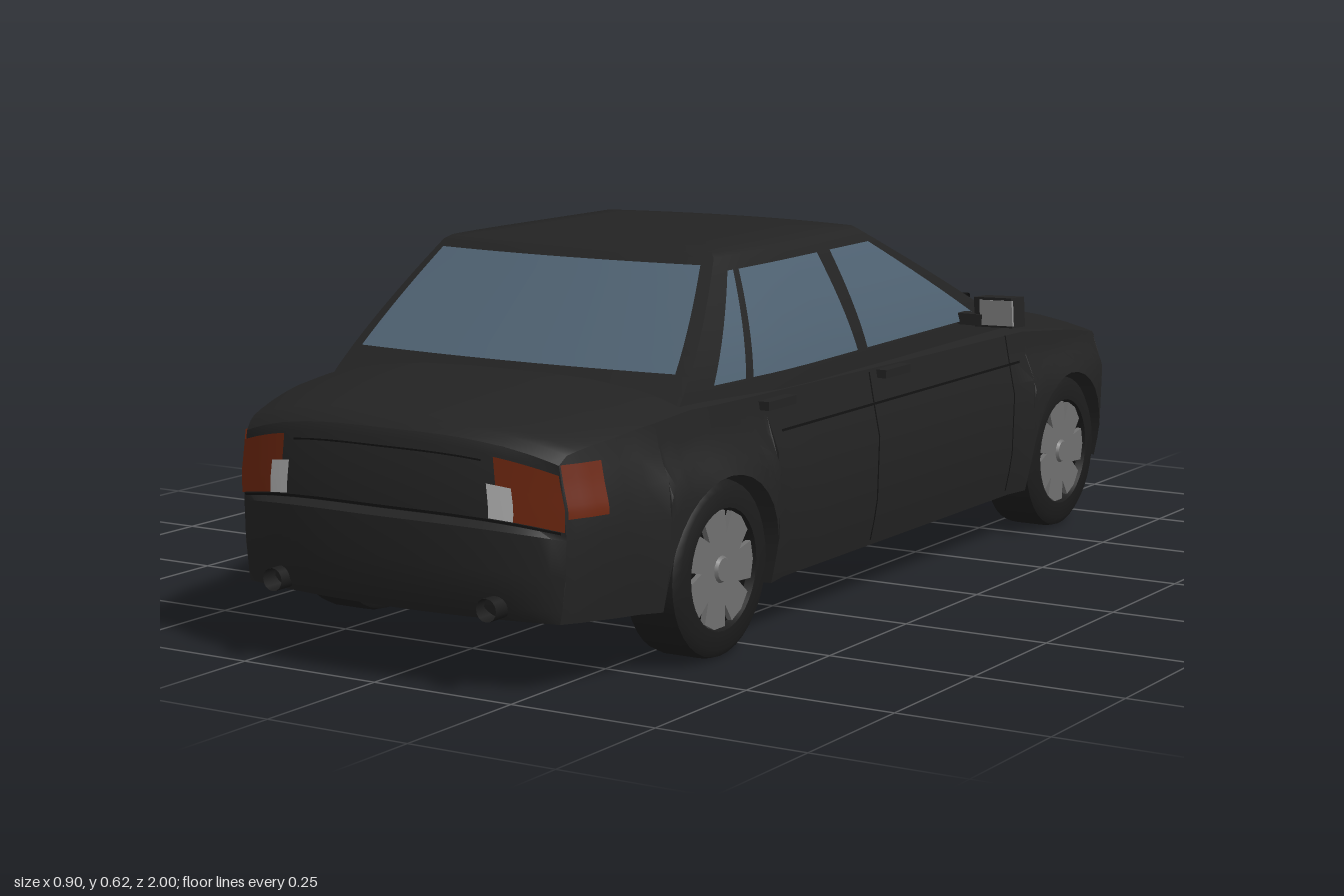
import * as THREE from 'three';
import { toCreasedNormals } from 'three/addons/utils/BufferGeometryUtils.js';

const mat = (name, color) => new THREE.MeshStandardMaterial({ name, color, side: THREE.DoubleSide });
const clamp = (v) => Math.min(1, Math.max(0, v));
const mix = (a, b, t) => a + (b - a) * t;

// piecewise-linear lookup in a list of [key, value] with rising keys
function table(list, k) {
  if (k <= list[0][0]) return list[0][1];
  for (let i = 1; i < list.length; i++) {
    const [a, va] = list[i - 1], [b, vb] = list[i];
    if (k <= b) return mix(va, vb, (k - a) / (b - a));
  }
  return list[list.length - 1][1];
}

// surface through a grid of points, fn(i, j) -> [x, y, z]
function grid(nu, nv, fn, flip = false, crease = 0.6) {
  const pos = [], idx = [];
  for (let i = 0; i <= nu; i++) for (let j = 0; j <= nv; j++) pos.push(...fn(i, j));
  for (let i = 0; i < nu; i++) for (let j = 0; j < nv; j++) {
    const a = i * (nv + 1) + j, b = a + nv + 1;
    if (flip) idx.push(a, a + 1, b, b, a + 1, b + 1);
    else idx.push(a, b, a + 1, b, b + 1, a + 1);
  }
  const g = new THREE.BufferGeometry();
  g.setAttribute('position', new THREE.Float32BufferAttribute(pos, 3));
  g.setIndex(idx);
  return toCreasedNormals(g, crease);
}

// body dimensions along z
const WHEEL_Z = [0.6, -0.6], WHEEL_Y = 0.14, ARCH = 0.148;
const REAR = 0.965, FRONT = -0.96;
const WIDTH = [[-0.96, 0.305], [-0.92, 0.33], [-0.87, 0.347], [-0.8, 0.36], [-0.7, 0.37], [-0.5, 0.372],
  [0.5, 0.372], [0.6, 0.37], [0.75, 0.357], [0.85, 0.338], [0.93, 0.315], [0.965, 0.3]];
const TOP = [[-0.96, 0.325], [-0.945, 0.338], [-0.9, 0.35], [-0.8, 0.372], [-0.65, 0.395], [-0.45, 0.415],
  [0.0, 0.42], [0.66, 0.43], [0.8, 0.418], [0.92, 0.403], [0.95, 0.395], [0.965, 0.382]];
const FLOOR = [[-0.96, 0.13], [-0.75, 0.11], [-0.45, 0.09], [0.46, 0.09], [0.75, 0.1], [0.965, 0.11]];
const SIDE = [[0.09, 0.96], [0.16, 1], [0.28, 1.01], [0.32, 0.985], [0.36, 0.965], [0.42, 0.935]];

const topY = (z, s) => table(TOP, z) - 0.035 * Math.abs(s) ** 3;
function sideX(z, y) {
  const near = Math.max(...WHEEL_Z.map((c) => clamp(1 - Math.max(0, Math.abs(z - c) - 0.13) / 0.07)));
  return table(WIDTH, z) * table(SIDE, y) + 0.012 * near * clamp((0.33 - y) / 0.03);
}
// the nose and tail curve back towards their corners
const bend = (z, x) => z + (x / 0.3) ** 2 * (0.11 * clamp((-0.75 - z) / 0.21) - 0.035 * clamp((z - 0.75) / 0.21));
function sillY(z) {
  for (const c of WHEEL_Z) {
    const d = Math.abs(z - c);
    if (d < ARCH) return WHEEL_Y + Math.sqrt(ARCH * ARCH - d * d);
  }
  return table(FLOOR, z);
}

function bodyShell() {
  const zs = [0.965, 0.95, 0.93, 0.9, 0.85, 0.8, 0.4, 0.3, 0.15, 0, -0.15, -0.3, -0.4, -0.8, -0.85, -0.88, -0.91, -0.93, -0.945, -0.96];
  for (const c of WHEEL_Z) {
    zs.push(c + ARCH + 0.0005, c - ARCH - 0.0005);
    for (let k = 0; k <= 16; k++) zs.push(c + ARCH * 0.9999 * Math.cos((k / 16) * Math.PI));
  }
  zs.sort((a, b) => b - a);
  const rings = zs.map((z) => {
    const f = table(FLOOR, z), b = sillY(z), sh = topY(z, 1), half = [[0, f], [0.255, f], [0.255, b]];
    for (const t of [0, 0.25, 0.5, 0.7, 0.85, 1]) {
      const y = mix(b, sh, t);
      half.push([sideX(z, y), y]);
    }
    for (const s of [0.95, 0.85, 0.7, 0.45, 0.2, 0]) half.push([s * sideX(z, sh), topY(z, s)]);
    const other = half.slice(0, -1).reverse().map(([x, y]) => [-x, y]);
    return half.concat(other).map(([x, y]) => [x, y, bend(z, x)]);
  });
  return grid(zs.length - 1, rings[0].length - 1, (i, j) => rings[i][j]);
}

// end skins: [height fraction, protrusion] from bottom to top
const SKIN = {
  rear: { z: REAR, dir: 1, prof: [[0, 0], [0.08, 0.02], [0.3, 0.03], [0.53, 0.03], [0.56, 0.012], [0.95, 0.008], [1, 0]] },
  front: { z: FRONT, dir: -1, prof: [[0, 0.005], [0.08, 0.025], [0.25, 0.038], [0.62, 0.04], [0.67, 0.03], [0.69, 0.01], [0.96, 0.003], [1, 0]] },
};
function skinPoint(e, s, t, lift = 0) {
  const y = mix(table(FLOOR, e.z), topY(e.z, s), t);
  const x = s * sideX(e.z, y);
  return [x, y, bend(e.z, x) + e.dir * (table(e.prof, t) * (1 - s ** 4) + lift)];
}
const skin = (e) => grid(32, e.prof.length - 1, (i, j) => skinPoint(e, -1 + i / 16, e.prof[j][0]), e.dir < 0);
const skinPatch = (e, s0, s1, t0, t1, lift = 0.004) =>
  grid(10, 4, (i, j) => skinPoint(e, mix(s0, s1, i / 10), mix(t0, t1, j / 4), lift), e.dir < 0);
// painted patch on the body side, m = 1 left, -1 right
const sidePatch = (m, z0, z1, y0, y1, lift = 0.003) => grid(6, 8, (i, j) => {
  const z = mix(z0, z1, i / 6), y = mix(y0, y1, j / 8), x = sideX(z, y);
  return [m * (x + lift), y, bend(z, x)];
}, m < 0);

// cabin walls
const CAB0 = 0.385, CAB1 = 0.6;
const cabY = (v) => mix(CAB0, CAB1, v);
const cabX = (z, y) => 0.352 - 0.086 * clamp((y - CAB0) / (CAB1 - CAB0)) ** 1.4
  - 0.025 * clamp((0.3 - z) / 0.75) - 0.02 * clamp((z - 0.4) / 0.27);
const cabEnd = (rear, s, v, lift = 0) => {
  const z = rear ? mix(0.7, 0.475, v) - 0.02 * s * s : mix(-0.5, -0.06, v) + 0.035 * s * s;
  return [s * cabX(z, cabY(v)), cabY(v) + lift, z + (rear ? lift : -lift)];
};
function cabin() {
  const ring = (v) => {
    const p = [];
    for (let k = 0; k < 12; k++) p.push(cabEnd(true, -1 + k / 6, v));
    const side = (m, k) => {
      const z = mix(cabEnd(true, 1, v)[2], cabEnd(false, 1, v)[2], k / 12);
      return [m * cabX(z, cabY(v)), cabY(v), z];
    };
    for (let k = 0; k < 12; k++) p.push(side(1, k));
    for (let k = 0; k < 12; k++) p.push(cabEnd(false, 1 - k / 6, v));
    for (let k = 12; k >= 0; k--) p.push(side(-1, k));
    return p;
  };
  const rows = [0, 1, 2, 3, 4, 5, 6, 7, 8].map((k) => ring(k / 8));
  for (const [s, y] of [[0.96, 0.607], [0.75, 0.611], [0.4, 0.614], [0, 0.615]])
    rows.push(rows[8].map(([x, , z]) => [x * s, y, 0.2 + (z - 0.2) * s]));
  return grid(rows[0].length - 1, rows.length - 1, (i, j) => rows[j][i]);
}
const endGlass = (rear, v0, v1) => grid(12, 8, (i, j) => cabEnd(rear, mix(-0.93, 0.93, i / 12), mix(v0, v1, j / 8), 0.003), !rear);
const sideGlass = (m, [b0, b1, t0, t1]) => grid(6, 8, (i, j) => {
  const y = mix(0.42, 0.58, j / 8), z = mix(mix(b0, t0, j / 8), mix(b1, t1, j / 8), i / 6);
  return [m * (cabX(z, y) + 0.004), y, z];
}, m < 0);

export function createModel() {
  const paint = mat('black paint', 0x232323), rubber = mat('tyre rubber', 0x1c1c1c), dark = mat('dark trim', 0x111111);
  const glass = mat('tinted glass', 0x4f6272), red = mat('tail lamp red', 0x6e2710), white = mat('lamp white', 0xb4b4b4);
  const alloy = mat('alloy grey', 0x707070), mirrorGrey = mat('mirror glass', 0x8c8c8c), orange = mat('indicator orange', 0x7a2c10);

  const car = new THREE.Group();
  car.name = 'sedan';
  const add = (name, geo, m, parent = car) => {
    const mesh = new THREE.Mesh(geo, m);
    mesh.name = name;
    parent.add(mesh);
    return mesh;
  };
  const box = (name, size, at, m, rot = [0, 0, 0]) => {
    const b = add(name, new THREE.BoxGeometry(...size), m);
    b.position.set(...at);
    b.rotation.set(...rot);
  };

  // shell, ends and cabin
  add('bodyShell', bodyShell(), paint);
  add('rearPanelAndBumper', skin(SKIN.rear), paint);
  add('nosePanelAndBumper', skin(SKIN.front), paint);
  add('cabin', cabin(), paint);
  add('windscreen', endGlass(false, 0.17, 0.94), glass);
  add('rearWindow', endGlass(true, 0.25, 0.94), glass);

  // grille and lower intake
  add('grille', skinPatch(SKIN.front, -0.5, 0.5, 0.72, 0.95), dark);
  for (let k = 0; k < 5; k++) add('grilleSlat', skinPatch(SKIN.front, -0.49, 0.49, 0.73 + k * 0.045, 0.755 + k * 0.045, 0.007), alloy);
  add('lowerIntake', skinPatch(SKIN.front, -0.55, 0.55, 0.3, 0.45), dark);
  add('rearBumperSeam', skinPatch(SKIN.rear, -0.98, 0.98, 0.565, 0.58, 0.003), dark);
  add('bootLidSeam', skinPatch(SKIN.rear, -0.6, 0.6, 0.9, 0.91, 0.003), dark);

  for (const m of [1, -1]) {
    const band = (e, a, b, t0, t1, lift) => skinPatch(e, Math.min(m * a, m * b), Math.max(m * a, m * b), t0, t1, lift);
    // lamps
    add('tailLampUpper', band(SKIN.rear, 0.67, 1, 0.78, 0.94), red);
    add('tailLampLower', band(SKIN.rear, 0.75, 1, 0.585, 0.78), red);
    add('reversingLamp', band(SKIN.rear, 0.62, 0.75, 0.585, 0.78), white);
    add('tailLampSide', sidePatch(m, REAR, 0.89, 0.268, 0.348), red);
    add('headlamp', band(SKIN.front, 0.56, 0.99, 0.71, 0.95), white);
    add('indicator', sidePatch(m, -0.89, FRONT, 0.268, 0.29 + 0.025), orange);
    add('fogLamp', band(SKIN.front, 0.64, 0.86, 0.34, 0.46), white);

    // side windows: bottom rear, bottom front, top rear, top front
    add('frontDoorWindow', sideGlass(m, [0.1, -0.33, 0.11, -0.03]), glass);
    add('rearDoorWindow', sideGlass(m, [0.47, 0.135, 0.41, 0.155]), glass);
    add('quarterWindow', sideGlass(m, [0.575, 0.49, 0.44, 0.425]), glass);

    // door seams, crease and handles
    for (const z of [0.12, -0.38]) add('doorSeam', sidePatch(m, z + 0.002, z - 0.002, 0.1, 0.382, 0.002), dark);
    add('sideCrease', sidePatch(m, 0.42, -0.42, 0.328, 0.332, 0.002), dark);
    for (const z of [0.43, 0.05]) box('doorHandle', [0.022, 0.014, 0.085], [m * 0.363, 0.376, z], paint);

    // door mirrors
    box('mirrorArm', [0.06, 0.02, 0.03], [m * 0.35, 0.425, -0.27], paint);
    box('mirrorHousing', [0.085, 0.052, 0.035], [m * 0.401, 0.441, -0.268], paint, [0, -m * 0.25, m * 0.06]);
    box('mirrorGlass', [0.074, 0.044, 0.004], [m * 0.405, 0.441, -0.249], mirrorGrey, [0, -m * 0.25, m * 0.06]);

    // exhaust pipe
    const pipe = add('exhaustPipe', new THREE.CylinderGeometry(0.018, 0.018, 0.1, 16, 1, true), rubber);
    pipe.rotation.x = Math.PI / 2;
    pipe.position.set(m * 0.2, 0.132, 0.94);

    // wheels
    for (const z of WHEEL_Z) {
      const wheel = new THREE.Group();
      wheel.name = z > 0 ? 'rearWheel' : 'frontWheel';
      const tyre = [[0.09, -0.05], [0.125, -0.05], [0.137, -0.042], [0.14, -0.03], [0.14, 0.03], [0.137, 0.042], [0.125, 0.05], [0.096, 0.05], [0.092, 0.036]];
      add('tyre', toCreasedNormals(new THREE.LatheGeometry(tyre.map(([r, h]) => new THREE.Vector2(r, h)), 36).rotateX(Math.PI / 2), 0.7), rubber, wheel);
      add('rimBack', new THREE.CylinderGeometry(0.093, 0.093, 0.08, 32).rotateX(Math.PI / 2).translate(0, 0, -0.004), dark, wheel);
      const star = new THREE.Shape();
      for (let k = 0; k < 7; k++) {
        const a = (k / 7) * Math.PI * 2;
        for (const [d, r] of [[-0.33, 0.092], [0, 0.094], [0.33, 0.092], [0.4, 0.058]]) {
          const p = [r * Math.cos(a + d), r * Math.sin(a + d)];
          if (k === 0 && d === -0.33) star.moveTo(...p); else star.lineTo(...p);
        }
      }
      add('rimSpokes', new THREE.ExtrudeGeometry(star, { depth: 0.01, bevelEnabled: false }).translate(0, 0, 0.035), alloy, wheel);
      add('hubCap', new THREE.CylinderGeometry(0.018, 0.022, 0.006, 16).rotateX(Math.PI / 2).translate(0, 0, 0.047), alloy, wheel);
      wheel.rotation.y = m * Math.PI / 2;
      wheel.position.set(m * 0.32, WHEEL_Y, z);
      car.add(wheel);
    }
  }

  // wipers resting on the windscreen base
  for (const x0 of [-0.22, 0.03]) {
    const path = new THREE.LineCurve3(new THREE.Vector3(x0, 0.432, -0.455), new THREE.Vector3(x0 + 0.23, 0.442, -0.425));
    add('wiper', new THREE.TubeGeometry(path, 1, 0.005, 6), dark);
  }
  return car;
}
